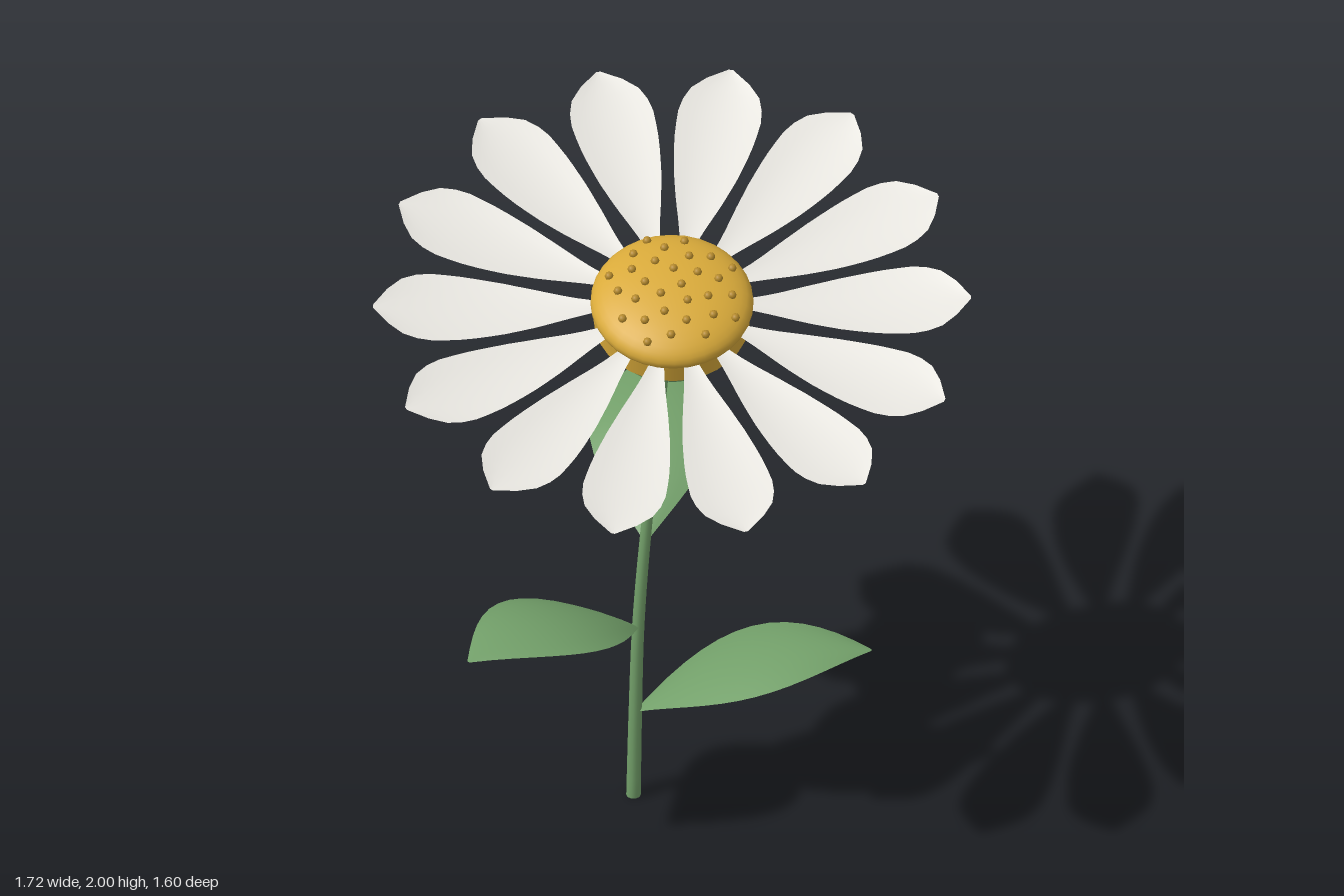
import * as THREE from 'three';

const material = (name, color, side = THREE.FrontSide) => {
  const m = new THREE.MeshStandardMaterial({ color, side });
  m.name = name;
  return m;
};

// Curved blade along +x: halfWidth(t) and rise(t) run root to tip, bow lifts (+) or drops (-) the edges.
function bladeGeometry(length, rows, cols, halfWidth, rise, bow) {
  const geo = new THREE.PlaneGeometry(1, 1, cols, rows);
  const p = geo.attributes.position;
  for (let i = 0; i < p.count; i++) {
    const t = p.getY(i) + 0.5;
    const across = p.getX(i) * 2;
    const w = halfWidth(t);
    p.setXYZ(i, length * t, rise(t) + bow(w) * across * across, across * w);
  }
  geo.computeVertexNormals();
  return geo;
}

// Straight-line lookup in a list of [t, value] pairs
function lookup(points, t) {
  for (let i = 1; i < points.length; i++) {
    const [t0, a] = points[i - 1], [t1, b] = points[i];
    if (t <= t1) return a + (b - a) * (t - t0) / (t1 - t0);
  }
  return points[points.length - 1][1];
}

// Stem: tube whose rings shrink toward the top
function stemGeometry(path) {
  const rings = 24, sides = 10;
  const geo = new THREE.TubeGeometry(path, rings, 0.021, sides, false);
  const p = geo.attributes.position, v = new THREE.Vector3();
  for (let i = 0; i <= rings; i++) {
    const c = path.getPointAt(i / rings);
    for (let j = 0; j <= sides; j++) {
      const k = i * (sides + 1) + j;
      v.fromBufferAttribute(p, k).sub(c).multiplyScalar(1 - 0.4 * i / rings).add(c);
      p.setXYZ(k, v.x, Math.max(v.y, 0), v.z);
    }
  }
  geo.computeVertexNormals();
  return geo;
}

export function createModel() {
  const white = material('petal white', 0xf0eee8, THREE.DoubleSide);
  const gold = material('disc gold', 0xd9aa3a);
  const darkGold = material('floret gold', 0xb58a2c);
  const green = material('leaf green', 0x729f69, THREE.DoubleSide);

  const model = new THREE.Group();
  model.name = 'daisy';
  const add = (parent, name, geo, mat) => {
    const mesh = new THREE.Mesh(geo, mat);
    mesh.name = name;
    parent.add(mesh);
    return mesh;
  };

  // Stem
  const path = new THREE.CatmullRomCurve3([
    [-0.11, 0, -0.03], [-0.105, 0.3, -0.018], [-0.097, 0.6, -0.008],
    [-0.076, 0.92, -0.004], [-0.045, 1.25, -0.004], [-0.01, 1.6, -0.012],
  ].map((a) => new THREE.Vector3(...a)));
  add(model, 'stem', stemGeometry(path), green);
  const foot = add(model, 'stemFoot', new THREE.CircleGeometry(0.021, 10), green);
  foot.rotation.x = Math.PI / 2;
  foot.position.set(-0.11, 0.001, -0.03);

  // Leaves, spiralling up the stem by the golden angle
  const leafGeo = bladeGeometry(0.68, 14, 8,
    (t) => 0.004 + 0.178 * Math.sin(Math.PI * t),
    (t) => 0.578 * t - 0.378 * t * t,
    (w) => -0.16 * w);
  [[-0.105, 0.3, -0.018], [-0.097, 0.6, -0.008], [-0.076, 0.9, -0.004]].forEach((pos, i) => {
    const leaf = add(model, 'leaf' + (i + 1), leafGeo, green);
    leaf.position.set(...pos);
    leaf.rotation.y = -THREE.MathUtils.degToRad(137.5 * i);
  });

  // Flower head, tilted forward
  const head = new THREE.Group();
  head.name = 'flowerHead';
  head.position.y = 1.735;
  head.rotation.x = 0.315;
  model.add(head);

  // Petals
  const outline = [[0, 0.014], [0.15, 0.038], [0.3, 0.068], [0.45, 0.094], [0.6, 0.113],
    [0.74, 0.122], [0.85, 0.112], [0.92, 0.078], [1, 0.006]];
  const petalGeo = bladeGeometry(0.67, 16, 6,
    (t) => lookup(outline, t),
    (t) => -0.015 - 0.1 * t * (1 - t) + 0.015 * t,
    (w) => 0.12 * w);
  const petalCount = 14;
  for (let i = 0; i < petalCount; i++) {
    const a = i / petalCount * Math.PI * 2;
    const petal = add(head, 'petal' + (i + 1), petalGeo, white);
    petal.position.set(0.19 * Math.cos(a), 0, 0.19 * Math.sin(a));
    petal.rotation.y = -a;
  }

  // Domed disc with a collar underneath
  const domeR = 0.235, domeH = 0.082;
  const dome = add(head, 'disc',
    new THREE.SphereGeometry(1, 32, 12, 0, Math.PI * 2, 0, Math.PI * 0.56), gold);
  dome.scale.set(domeR, domeH, domeR);
  add(head, 'discCollar', new THREE.CylinderGeometry(0.225, 0.225, 0.08, 32), gold).position.y = -0.042;

  // Florets scattered in a spiral over the dome
  const floretGeo = new THREE.SphereGeometry(0.013, 8, 6);
  const floretCount = 30;
  for (let i = 0; i < floretCount; i++) {
    const r = 0.205 * Math.sqrt((i + 0.5) / floretCount);
    const a = i * 2.39996;
    add(head, 'floret', floretGeo, darkGold).position.set(
      r * Math.cos(a), domeH * Math.sqrt(1 - (r / domeR) ** 2) + 0.003, r * Math.sin(a));
  }

  // Green cup holding the head
  const cup = add(head, 'calyx', new THREE.SphereGeometry(1, 28, 14), green);
  cup.scale.set(0.213, 0.072, 0.213);
  cup.position.y = -0.093;

  return model;
}
